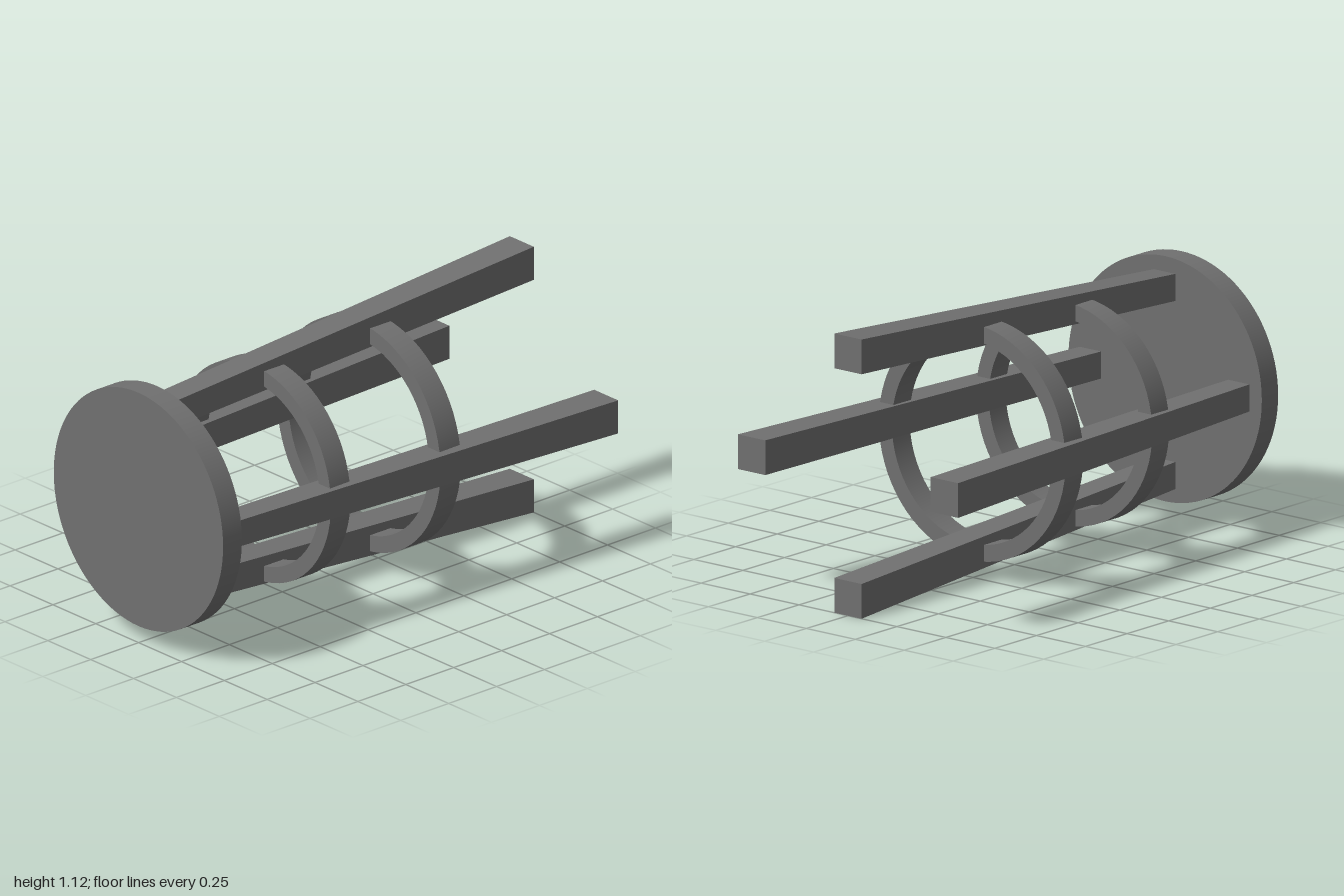
import * as THREE from 'three';
import { toCreasedNormals } from 'three/addons/utils/BufferGeometryUtils.js';

const CENTER_Y = 0.5625;

// Flat-sided ring around the z axis
function ringGeometry(outer, inner, depth) {
  const h = depth / 2;
  const profile = [[inner, -h], [outer, -h], [outer, h], [inner, h], [inner, -h]]
    .map(([r, y]) => new THREE.Vector2(r, y));
  const geometry = new THREE.LatheGeometry(profile, 72).rotateX(Math.PI / 2);
  return toCreasedNormals(geometry, Math.PI / 6);
}

// Square leg above the axis, splayed outward and thicker towards its foot
function legGeometry() {
  const zSeat = 0.9, zFoot = -1;
  const geometry = new THREE.BoxGeometry(1, 1, 1);
  const p = geometry.attributes.position;
  for (let i = 0; i < p.count; i++) {
    const seatEnd = p.getZ(i) > 0;
    const width = seatEnd ? 0.109 : 0.14;
    const offset = seatEnd ? 0.379 : 0.4925;
    p.setXYZ(i, p.getX(i) * width, offset + p.getY(i) * width, seatEnd ? zSeat : zFoot);
  }
  geometry.computeVertexNormals();
  return geometry;
}

export function createModel() {
  const model = new THREE.Group();
  model.name = 'stoolOnItsSide';
  const grey = new THREE.MeshStandardMaterial({ color: 0x707070 });
  grey.name = 'dark grey';

  const add = (name, geometry, x, y, z) => {
    const mesh = new THREE.Mesh(geometry, grey);
    mesh.name = name;
    mesh.position.set(x, y, z);
    model.add(mesh);
    return mesh;
  };

  // Round seat facing the front
  add('seat', new THREE.CylinderGeometry(0.494, 0.494, 0.098, 96).rotateX(Math.PI / 2), -0.001, 0.564, 0.951);

  // Four legs running back from the seat
  const leg = legGeometry();
  ['topLeg', 'rightLeg', 'bottomLeg', 'leftLeg'].forEach((name, i) => {
    add(name, leg, 0, CENTER_Y, 0).rotation.z = i * Math.PI / 2;
  });

  // Two bracing rings
  add('upperRing', ringGeometry(0.45, 0.385, 0.102), -0.002, 0.55, 0.346);
  add('lowerRing', ringGeometry(0.477, 0.41, 0.106), -0.003, 0.549, -0.205);

  return model;
}
